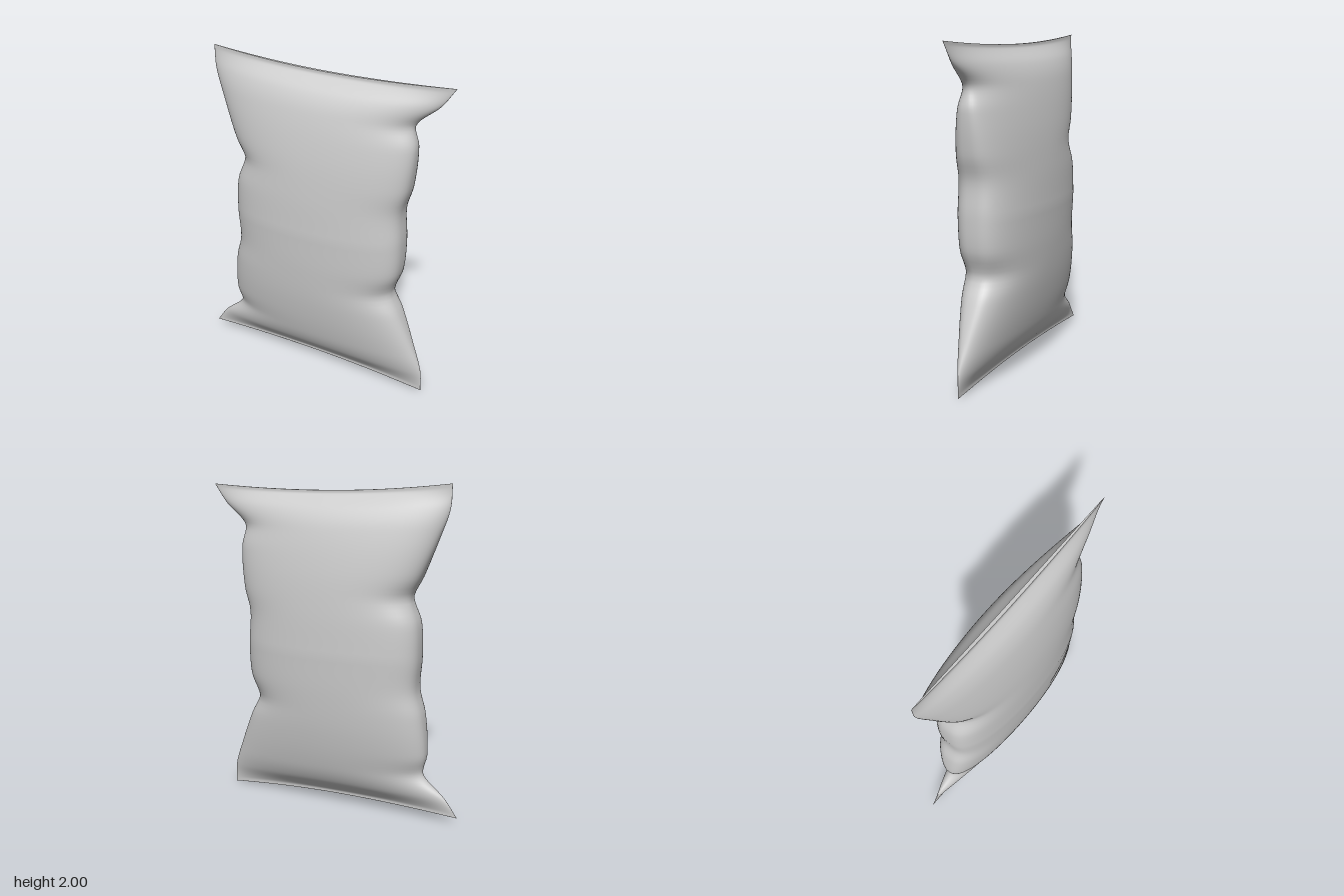
import * as THREE from 'three';

// Smooth interpolation through [position, value] pairs
function curve(points) {
  const slope = (i) => {
    const a = points[Math.max(i - 1, 0)], b = points[Math.min(i + 1, points.length - 1)];
    return (b[1] - a[1]) / (b[0] - a[0]);
  };
  return (t) => {
    let i = 0;
    while (i < points.length - 2 && t > points[i + 1][0]) i++;
    const [t0, v0] = points[i], [t1, v1] = points[i + 1];
    const h = t1 - t0, k = THREE.MathUtils.clamp((t - t0) / h, 0, 1);
    const k2 = k * k, k3 = k2 * k;
    return v0 * (2 * k3 - 3 * k2 + 1) + v1 * (3 * k2 - 2 * k3)
      + slope(i) * h * (k3 - 2 * k2 + k) + slope(i + 1) * h * (k3 - k2);
  };
}

// Crumpled side outline by height; the other side is the same turned half round
const side = curve([
  [0, 0.72], [0.14, 0.712], [0.3, 0.655], [0.53, 0.56], [0.64, 0.505], [0.69, 0.512],
  [0.8, 0.55], [1, 0.56], [1.2, 0.55], [1.35, 0.59], [1.6, 0.613], [1.72, 0.592],
  [1.77, 0.62], [1.87, 0.73], [2, 0.815],
]);

// Half thickness by distance from the nearer end seam
const depth = curve([
  [0, 0.01], [0.03, 0.015], [0.13, 0.088], [0.25, 0.135], [0.5, 0.185], [0.75, 0.21], [1, 0.22],
]);

const bump = (y, at, width) => Math.exp(-(((y - at) / width) ** 2));

function bagGeometry(rows = 96, cols = 96) {
  const positions = [], index = [];
  for (let i = 0; i <= rows; i++) {
    const y = 1 - Math.cos((Math.PI * i) / rows);
    const end = Math.abs(y - 1);
    const d = depth(1 - end);
    // Full section in the middle, lens section towards the seams
    const power = 0.35 + 0.4 * end ** 4;
    for (let j = 0; j < cols; j++) {
      const a = (2 * Math.PI * j) / cols;
      const s = Math.cos(a);
      const yy = s > 0 ? y : 2 - y;
      const x = s * side(yy);
      // Creases running in from the side notches
      const crease = 1 - (0.25 * bump(yy, 0.65, 0.08) + 0.2 * bump(yy, 1.73, 0.06)) * Math.abs(s) ** 8;
      const z = Math.sign(Math.sin(a)) * d * Math.max(1 - s * s, 0) ** power * crease;
      // Bowed end seams
      const dir = Math.sign(y - 1), u = s * dir;
      const bow = dir * end ** 4 * (-0.055 - 0.0185 * u + 0.0365 * u * u);
      positions.push(x, y + bow, z);
    }
  }
  for (let i = 0; i < rows; i++) {
    for (let j = 0; j < cols; j++) {
      const k = (j + 1) % cols;
      const a = i * cols + j, b = i * cols + k, c = a + cols, d = b + cols;
      index.push(a, c, b, b, c, d);
    }
  }
  // Narrow strips closing both end seams
  const top = rows * cols;
  for (let j = 0; j < cols / 2; j++) {
    const f0 = j, f1 = j + 1, b0 = (cols - j) % cols, b1 = cols - j - 1;
    index.push(top + f0, top + b0, top + b1, top + f0, top + b1, top + f1);
    index.push(f0, b1, b0, f0, f1, b1);
  }
  const geometry = new THREE.BufferGeometry();
  geometry.setAttribute('position', new THREE.Float32BufferAttribute(positions, 3));
  geometry.setIndex(index);
  geometry.computeVertexNormals();
  return geometry;
}

export function createModel() {
  const group = new THREE.Group();
  group.name = 'pillowBag';
  const bag = new THREE.Mesh(
    bagGeometry(),
    new THREE.MeshStandardMaterial({ color: 0xcccccc, side: THREE.DoubleSide }),
  );
  bag.name = 'bagBody';
  group.add(bag);
  return group;
}
